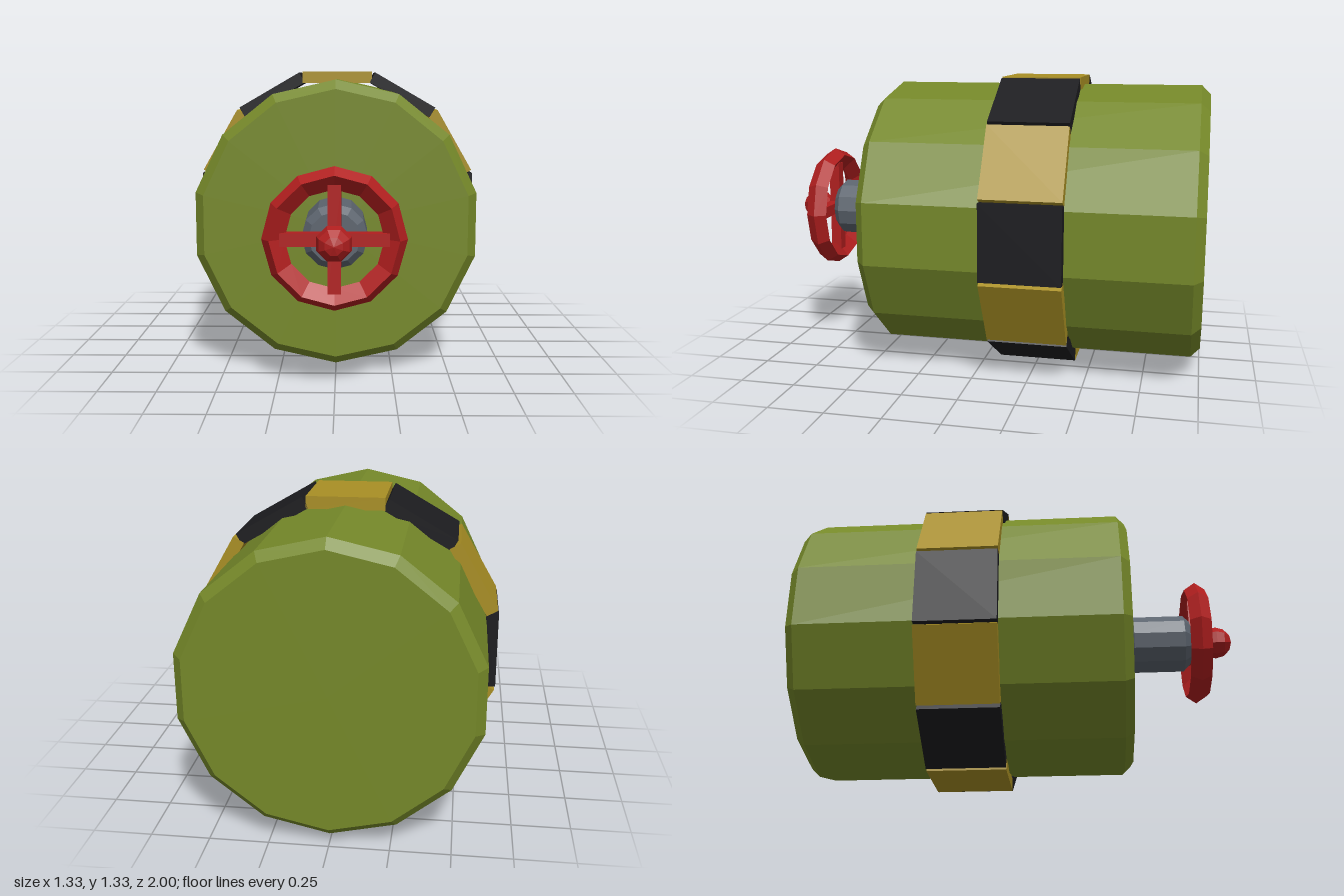
import * as THREE from 'three';

const CY = 0.667; // height of the barrel's axis

const mat = (color) => new THREE.MeshStandardMaterial({ color, flatShading: true });

// Faceted solid turned about the z axis; profile is [radius, z] pairs from back to front.
function turned(name, profile, sides, material) {
  const points = profile.map(([r, z]) => new THREE.Vector2(r, z));
  const geometry = new THREE.LatheGeometry(points, sides).rotateX(Math.PI / 2);
  const mesh = new THREE.Mesh(geometry, material);
  mesh.name = name;
  return mesh;
}

function box(name, w, h, d, material) {
  const mesh = new THREE.Mesh(new THREE.BoxGeometry(w, h, d), material);
  mesh.name = name;
  return mesh;
}

export function createModel() {
  const olive = mat(0x758829);
  const yellow = mat(0xa98f24);
  const black = mat(0x1c1c1f);
  const steel = mat(0x5c646e);
  const red = mat(0xb01e1e);

  const model = new THREE.Group();
  model.name = 'barrelWithValve';
  model.position.y = CY;

  // Barrel with chamfered ends
  model.add(turned('barrel', [
    [0, -1], [0.59, -1], [0.63, -0.96], [0.63, 0.46], [0.59, 0.5], [0, 0.5],
  ], 14, olive));

  // Warning band: twelve plates in alternating colours
  const band = new THREE.Group();
  band.name = 'warningBand';
  for (let i = 0; i < 12; i++) {
    const a = (i * Math.PI) / 6;
    const plate = box('bandPlate', 0.34, 0.055, 0.357, i % 2 ? black : yellow);
    plate.position.set(Math.sin(a) * 0.639, Math.cos(a) * 0.639, -0.248);
    plate.rotation.z = -a;
    band.add(plate);
  }
  model.add(band);

  // Valve stem
  model.add(turned('valveStem', [
    [0, 0.49], [0.11, 0.49], [0.135, 0.53], [0.135, 0.77], [0.105, 0.8], [0, 0.8],
  ], 12, steel));

  // Hand wheel: bevelled rim, crossed spokes and centre knob
  const wheel = new THREE.Group();
  wheel.name = 'handWheel';
  wheel.position.z = 0.828;
  wheel.add(turned('wheelRim', [
    [0.293, 0], [0.26, 0.049], [0.2, 0], [0.26, -0.049], [0.293, 0],
  ], 12, red));
  wheel.add(box('spokeAcross', 0.44, 0.054, 0.05, red));
  wheel.add(box('spokeUpright', 0.054, 0.44, 0.05, red));

  const knob = new THREE.Mesh(new THREE.SphereGeometry(0.075, 8, 6).rotateX(Math.PI / 2), red);
  knob.name = 'wheelKnob';
  knob.rotation.z = Math.PI / 8;
  knob.position.z = 0.097;
  wheel.add(knob);
  model.add(wheel);

  const root = new THREE.Group();
  root.name = 'model';
  root.add(model);
  return root;
}
